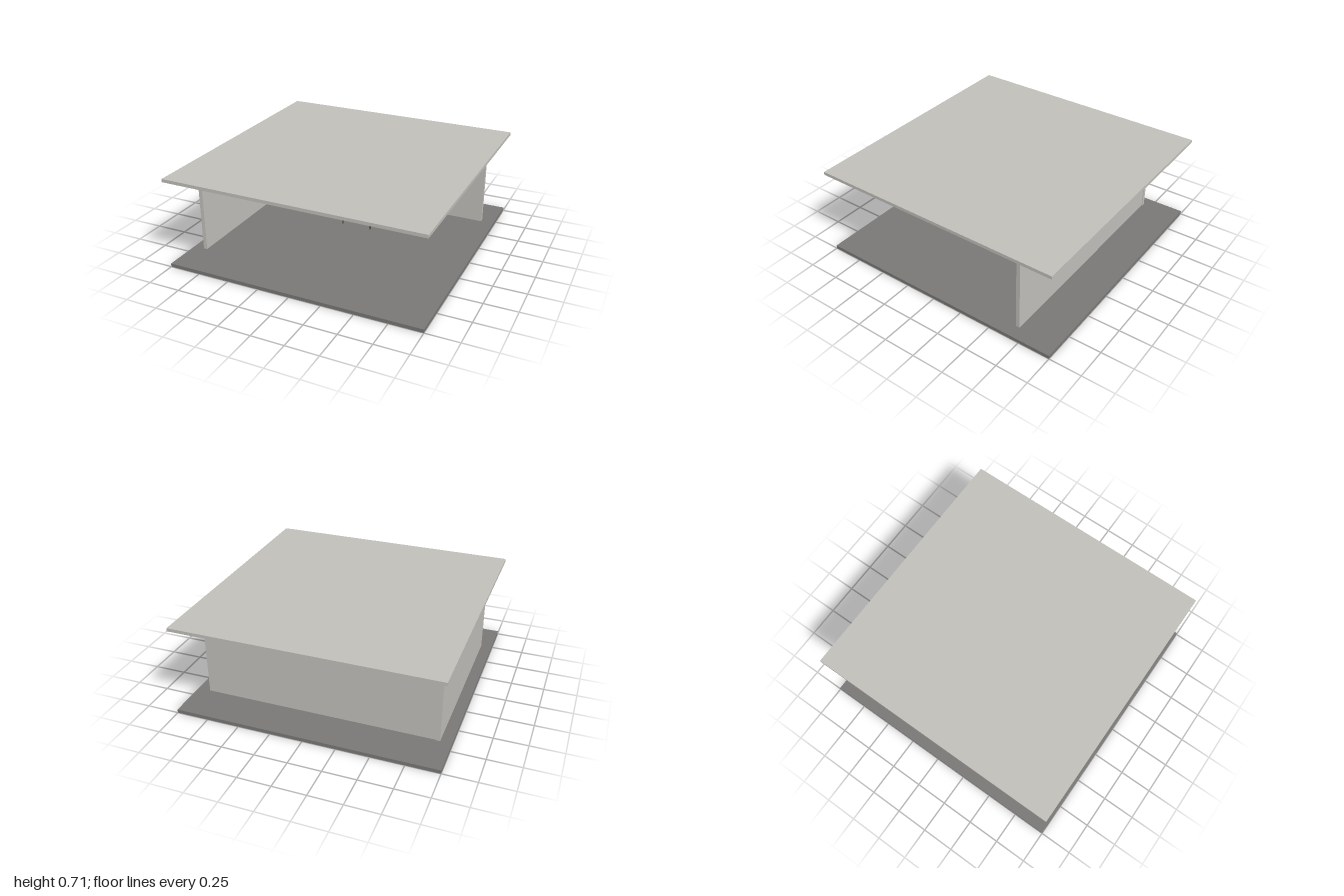
import * as THREE from 'three';

function mat(name, color) {
  const m = new THREE.MeshStandardMaterial({ color });
  m.name = name;
  return m;
}

export function createModel() {
  const plaster = mat('plaster', 0xc2c0bb);
  const concrete = mat('concrete', 0x7a7876);
  const casing = mat('casing', 0x7c7c7a);
  const dark = mat('darkMetal', 0x3c3c38);

  const room = new THREE.Group();
  room.name = 'openRoom';

  const add = (parent, name, geometry, material, x = 0, y = 0, z = 0) => {
    const mesh = new THREE.Mesh(geometry, material);
    mesh.name = name;
    mesh.position.set(x, y, z);
    parent.add(mesh);
    return mesh;
  };
  // Box given by its lower and upper corners
  const box = (parent, name, material, [x0, y0, z0], [x1, y1, z1]) =>
    add(parent, name, new THREE.BoxGeometry(x1 - x0, y1 - y0, z1 - z0), material,
      (x0 + x1) / 2, (y0 + y1) / 2, (z0 + z1) / 2);
  const group = (name) => {
    const g = new THREE.Group();
    g.name = name;
    room.add(g);
    return g;
  };

  // Slabs and the two walls; the front and the +x side stay open
  box(room, 'floor', concrete, [-1, 0, -1], [1, 0.027, 1]);
  box(room, 'ceiling', plaster, [-1, 0.69, -1], [1, 0.715, 1]);
  box(room, 'sideWall', plaster, [-0.915, 0.027, -0.697], [-0.885, 0.69, 0.7]);
  box(room, 'backWall', plaster, [-0.885, 0.027, -0.692], [0.9, 0.69, -0.663]);

  // Desk with four slim legs and an apron
  const desk = group('desk');
  box(desk, 'deskTop', dark, [-0.135, 0.176, -0.27], [0.133, 0.183, -0.13]);
  for (const x of [-0.123, 0.122]) {
    for (const z of [-0.262, -0.14]) {
      box(desk, 'deskLeg', dark, [x - 0.004, 0.027, z - 0.003], [x + 0.004, 0.176, z + 0.003]);
    }
  }
  for (const z of [-0.262, -0.14]) {
    box(desk, 'deskApron', dark, [-0.12, 0.17, z - 0.002], [0.12, 0.176, z + 0.002]);
  }

  // Boxy monitor on a neck and foot
  const monitor = group('monitor');
  box(monitor, 'monitorCase', casing, [-0.053, 0.213, -0.262], [0.05, 0.293, -0.167]);
  add(monitor, 'monitorNeck', new THREE.CylinderGeometry(0.014, 0.018, 0.026, 16), dark, 0, 0.2, -0.215);
  box(monitor, 'monitorFoot', dark, [-0.053, 0.183, -0.25], [0.035, 0.189, -0.17]);

  // Headset standing on the desk, with its cord hanging over the edge
  const headset = group('headset');
  add(headset, 'headband', new THREE.TorusGeometry(0.016, 0.003, 8, 16, Math.PI), dark, 0.083, 0.206, -0.22);
  for (const side of [-1, 1]) {
    const cup = add(headset, 'earCup', new THREE.CylinderGeometry(0.012, 0.012, 0.009, 14), dark,
      0.083 + side * 0.016, 0.196, -0.22);
    cup.rotation.z = Math.PI / 2;
  }
  const cord = new THREE.CatmullRomCurve3([
    [0.1, 0.187, -0.22], [0.128, 0.187, -0.235], [0.138, 0.165, -0.24],
    [0.13, 0.11, -0.25], [0.137, 0.06, -0.25], [0.127, 0.03, -0.255],
  ].map((p) => new THREE.Vector3(...p)));
  add(headset, 'cord', new THREE.TubeGeometry(cord, 30, 0.0015, 5), dark);

  // Ceiling spotlights aimed at the desk
  const spotlight = (x, z, aimX, aimZ) => {
    const lamp = group('spotlight');
    lamp.position.set(x, 0, z);
    add(lamp, 'mountPlate', new THREE.CylinderGeometry(0.013, 0.013, 0.004, 16), dark, 0, 0.688, 0);
    add(lamp, 'stem', new THREE.CylinderGeometry(0.002, 0.002, 0.034, 8), dark, 0, 0.672, 0);
    const can = add(lamp, 'lampCan', new THREE.CylinderGeometry(0.011, 0.013, 0.034, 16), dark, 0, 0.651, 0);
    can.quaternion.setFromUnitVectors(new THREE.Vector3(0, -1, 0),
      new THREE.Vector3(aimX, -1, aimZ).normalize());
  };
  spotlight(-0.262, 0.03, 0.5, -0.35);
  spotlight(0.258, -0.23, -0.5, 0);

  return room;
}
